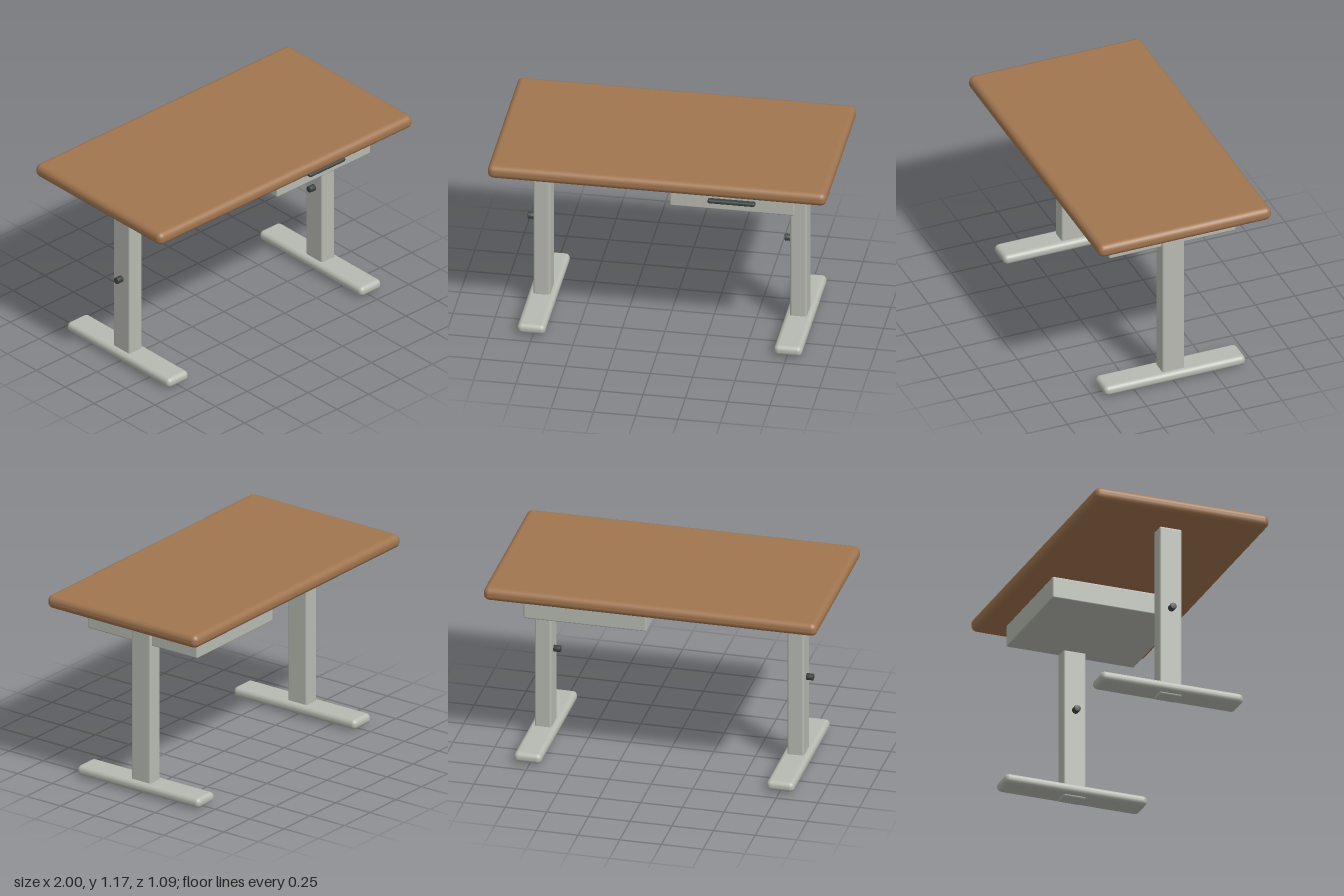
import * as THREE from 'three';
import { RoundedBoxGeometry } from 'three/addons/geometries/RoundedBoxGeometry.js';

const material = (name, color) => {
  const m = new THREE.MeshStandardMaterial({ color });
  m.name = name;
  return m;
};

export function createModel() {
  const wood = material('wood', 0xa0754f);
  const metal = material('paintedMetal', 0xb7bab1);
  const dark = material('darkFittings', 0x3d4441);

  const desk = new THREE.Group();
  desk.name = 'desk';

  const add = (parent, name, geometry, mat, x, y, z) => {
    const mesh = new THREE.Mesh(geometry, mat);
    mesh.name = name;
    mesh.position.set(x, y, z);
    parent.add(mesh);
    return mesh;
  };

  // Thick desktop with softly rounded edges
  add(desk, 'desktop', new RoundedBoxGeometry(2, 0.082, 1.09, 4, 0.036), wood, 0, 1.131, 0);

  // Two T-shaped legs, each with a height knob on its -x face
  for (const [name, x] of [['rightLeg', -0.758], ['leftLeg', 0.758]]) {
    const leg = new THREE.Group();
    leg.name = name;
    leg.position.x = x;
    desk.add(leg);
    add(leg, 'column', new RoundedBoxGeometry(0.1, 1.075, 0.14, 3, 0.012), metal, 0, 0.5375, 0);
    add(leg, 'foot', new RoundedBoxGeometry(0.165, 0.062, 0.89, 4, 0.028), metal, 0, 0.043, 0);

    // Knob: short turned disc with eased rim
    const profile = [[0, -0.03], [0.02, -0.03], [0.02, 0.012], [0.018, 0.015], [0, 0.015]]
      .map(([r, y]) => new THREE.Vector2(r, y));
    const knob = add(leg, 'heightKnob',
      new THREE.LatheGeometry(profile, 20), dark, -0.077, 0.557, 0);
    knob.rotation.z = Math.PI / 2;
  }

  // Drawer slung under the top, with a slim pull on the front
  const drawer = new THREE.Group();
  drawer.name = 'drawer';
  drawer.position.set(0.423, 1.001, 0);
  desk.add(drawer);
  add(drawer, 'drawerBox', new RoundedBoxGeometry(0.737, 0.135, 0.798, 3, 0.009), metal, 0, 0, 0);
  add(drawer, 'drawerPull', new RoundedBoxGeometry(0.28, 0.024, 0.036, 3, 0.01), dark, 0, 0, 0.418);

  return desk;
}
